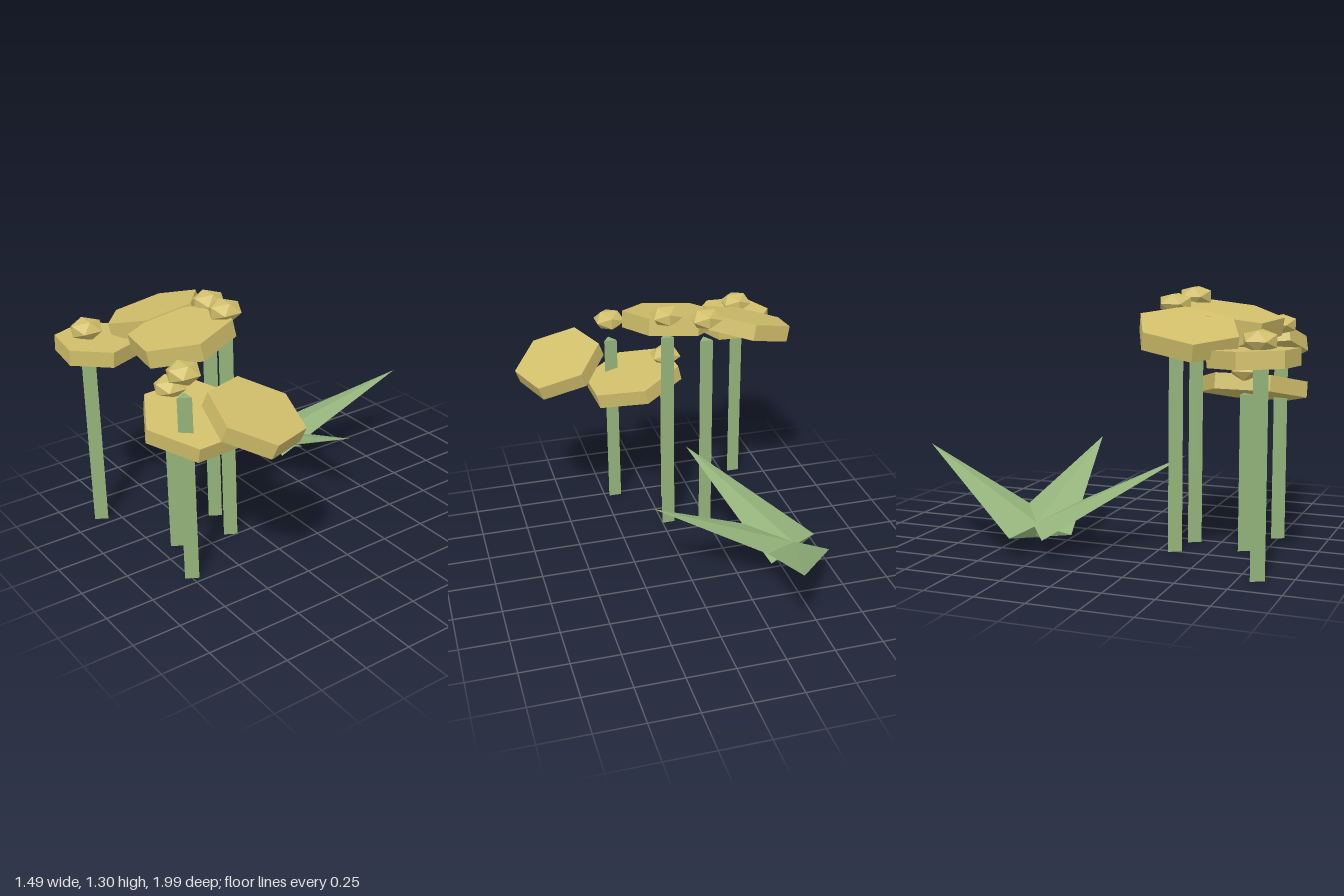
import * as THREE from 'three';

const yellow = new THREE.MeshStandardMaterial({ color: 0xd0be6a, flatShading: true });
yellow.name = 'petal yellow';
const green = new THREE.MeshStandardMaterial({ color: 0x93b27a, flatShading: true });
green.name = 'leaf green';

// Place a geometry with its y axis along up and its z axis along side
function place(geometry, material, name, origin, up, side) {
  const y = up.clone().normalize();
  const z = side.clone().normalize();
  const x = new THREE.Vector3().crossVectors(y, z);
  const mesh = new THREE.Mesh(geometry, material);
  mesh.name = name;
  mesh.quaternion.setFromRotationMatrix(new THREE.Matrix4().makeBasis(x, y, z));
  mesh.position.copy(origin);
  return mesh;
}

// Six-sided petal plate: centre of its top, slopes of y along x and z, one corner seen from above
function makePetal({ top, slope, corner, thick }) {
  const [a, b] = slope;
  const arm = new THREE.Vector3(corner[0], a * corner[0] + b * corner[1], corner[1]);
  const r = arm.length();
  const geometry = new THREE.CylinderGeometry(r, r, thick, 6);
  geometry.translate(0, -thick / 2, 0);
  return place(geometry, yellow, 'petal', new THREE.Vector3(...top), new THREE.Vector3(-a, 1, -b), arm);
}

// Three-sided stem with a flattened bud hovering above it
function makeFlower([x, y, z]) {
  const flower = new THREE.Group();
  flower.name = 'flower';
  const height = y - 0.118;
  const stem = new THREE.Mesh(new THREE.CylinderGeometry(0.041, 0.041, height, 3), green);
  stem.name = 'stem';
  stem.position.set(x, height / 2, z);
  const bud = new THREE.Mesh(new THREE.IcosahedronGeometry(0.09, 0), yellow);
  bud.name = 'bud';
  bud.scale.y = 0.62;
  bud.position.set(x, y, z);
  flower.add(stem, bud);
  return flower;
}

// Flattened four-sided cone rising outward from the leaf root
function makeLeaf(degrees) {
  const t = THREE.MathUtils.degToRad(degrees);
  const axis = new THREE.Vector3(0.755 * Math.cos(t), 0.348, 0.755 * Math.sin(t));
  const side = new THREE.Vector3(-Math.sin(t), 0, Math.cos(t));
  const length = axis.length();
  const geometry = new THREE.ConeGeometry(0.19, length, 4);
  geometry.translate(0, length / 2, 0);
  geometry.scale(0.2, 1, 1);
  return place(geometry, green, 'leaf', new THREE.Vector3(-0.55, 0.12, -0.28), axis, side);
}

export function createModel() {
  const model = new THREE.Group();
  model.name = 'flowerCluster';

  const flowers = [
    [-0.572, 1.095, 0.835],
    [-0.237, 1.228, 0.325],
    [-0.033, 1.253, 0.362],
    [0.19, 1.108, 0.74],
    [-0.102, 0.903, 0.645],
  ];
  for (const f of flowers) model.add(makeFlower(f));

  const petals = [
    { top: [-0.535, 1.053, 0.796], slope: [-0.035, 0.04], corner: [-0.212, -0.024], thick: 0.08 },
    { top: [-0.515, 1.15, 0.485], slope: [0.24, -0.16], corner: [0.025, -0.245], thick: 0.085 },
    { top: [-0.11, 1.192, 0.57], slope: [0.07, -0.175], corner: [0.255, 0.045], thick: 0.09 },
    { top: [0.1, 0.835, 0.627], slope: [-0.234, 0], corner: [0.01, 0.275], thick: 0.08 },
    { top: [0.52, 0.998, 0.56], slope: [-0.37, 0.22], corner: [0.222, 0.045], thick: 0.082 },
  ];
  for (const p of petals) model.add(makePetal(p));

  for (const angle of [-72, 3, 57]) model.add(makeLeaf(angle));
  return model;
}
